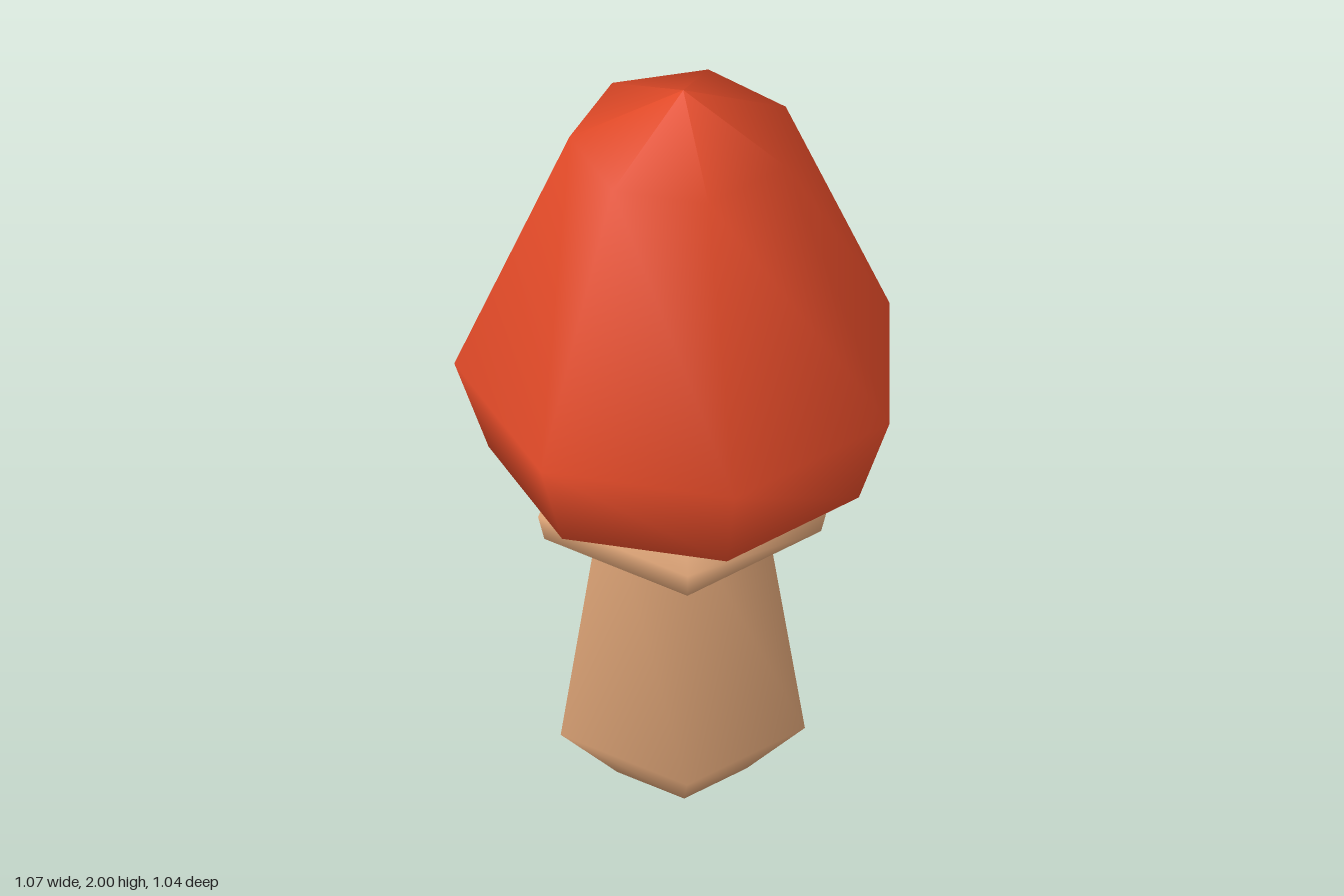
import * as THREE from 'three';

// Low-sided turned part with smooth normals; profile runs [radius, height] upwards
function turned(name, profile, sides, startAngle, material, x) {
  const points = profile.map(([r, y]) => new THREE.Vector2(r, y));
  const mesh = new THREE.Mesh(new THREE.LatheGeometry(points, sides, startAngle), material);
  mesh.name = name;
  mesh.position.set(x, 0, 0.027);
  return mesh;
}

export function createModel() {
  const red = new THREE.MeshStandardMaterial({ color: 0xe24a28 });
  red.name = 'capRed';
  const tan = new THREE.MeshStandardMaterial({ color: 0xdba275, side: THREE.DoubleSide });
  tan.name = 'stemTan';

  const mushroom = new THREE.Group();
  mushroom.name = 'mushroom';

  // Seven-sided cap with one corner at the back
  mushroom.add(turned('cap', [
    [0, 0.845], [0.27, 0.852], [0.465, 0.93], [0.547, 1.18], [0.272, 1.86], [0, 2],
  ], 7, Math.PI, red, 0));

  // Five-sided stem, tapering up into the cap
  mushroom.add(turned('stem', [
    [0, 0], [0.163, 0], [0.307, 0.15], [0.196, 0.86],
  ], 5, Math.PI, tan, -0.007));

  // Hollow five-sided skirt under the cap
  mushroom.add(turned('skirt', [
    [0.27, 0.86], [0.32, 0.75], [0.348, 0.75], [0.364, 0.82], [0.27, 0.88],
  ], 5, Math.PI, tan, -0.008));

  return mushroom;
}
